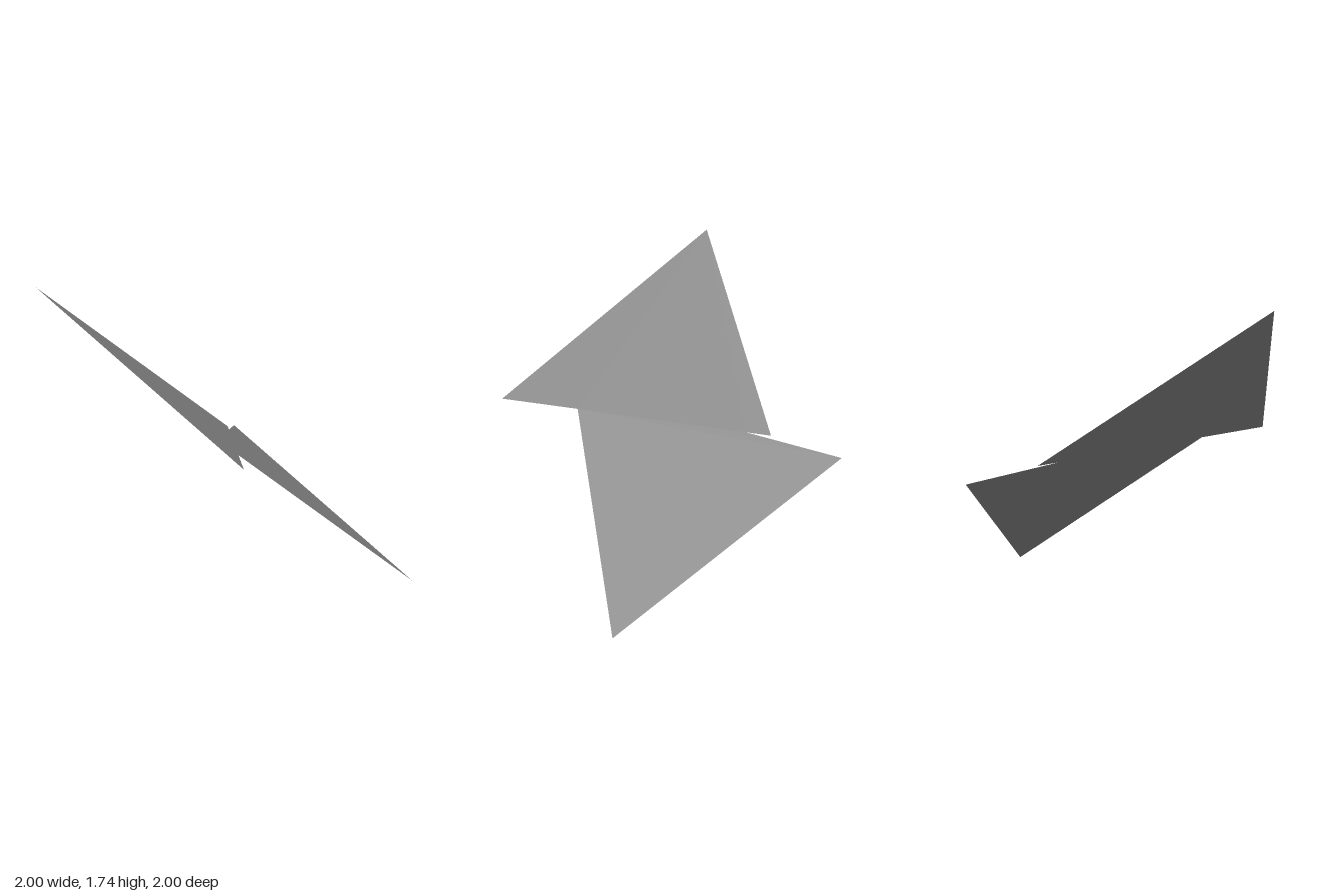
import * as THREE from 'three';

export function createModel() {
  const model = new THREE.Group();
  const grey = new THREE.MeshStandardMaterial({ color: 0x7c7c7c, side: THREE.DoubleSide });
  grey.name = 'grey';

  // Bolt outline in plan, as (x, -z) so the face points up after tilting
  const outline = [
    [-1, 0.447], [0.318, 0.995], [0.173, 0.535], [1, -0.367],
    [-0.243, -1], [-0.132, -0.44], [-0.176, -0.58],
  ].map(([x, z]) => new THREE.Vector2(x, -z));
  const geometry = new THREE.ShapeGeometry(new THREE.Shape(outline));

  // Lift the flat outline onto the sloping plane
  const p = geometry.attributes.position;
  for (let i = 0; i < p.count; i++) {
    const x = p.getX(i), z = -p.getY(i);
    p.setXYZ(i, x, Math.max(0, 0.859 - 0.762 * x + 0.264 * z), z);
  }
  geometry.computeVertexNormals();

  const bolt = new THREE.Mesh(geometry, grey);
  bolt.name = 'boltSheet';
  model.add(bolt);
  return model;
}
